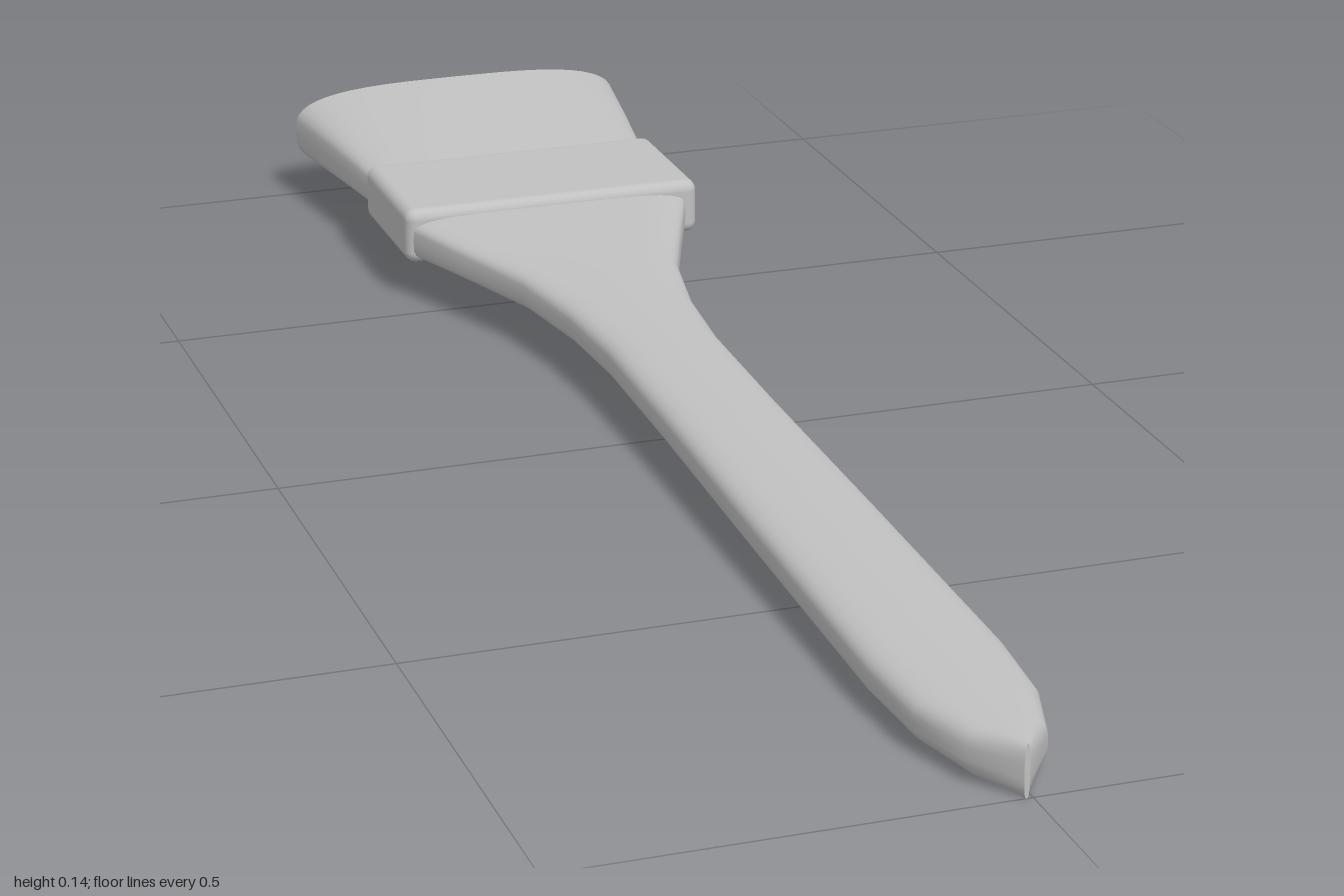
import * as THREE from 'three';
import { RoundedBoxGeometry } from 'three/addons/geometries/RoundedBoxGeometry.js';

const SIDES = 48;

// Skins superellipse sections [z, centreX, centreY, halfWidth, halfHeight, squareness], front to back.
function loft(sections) {
  const pos = [], index = [];
  const power = (v, n) => Math.sign(v) * Math.abs(v) ** (2 / n);
  const ring = ([z, cx, cy, w, h, n]) => {
    const start = pos.length / 3;
    for (let j = 0; j < SIDES; j++) {
      const a = (j / SIDES) * Math.PI * 2;
      pos.push(cx + w * power(Math.cos(a), n), cy + h * power(Math.sin(a), n), z);
    }
    return start;
  };
  const starts = sections.map(ring);
  for (let i = 0; i + 1 < starts.length; i++) {
    for (let j = 0; j < SIDES; j++) {
      const k = (j + 1) % SIDES;
      const a = starts[i] + j, b = starts[i + 1] + j, c = starts[i] + k, d = starts[i + 1] + k;
      index.push(a, b, c, c, b, d);
    }
  }
  // flat end caps with their own vertices
  const first = ring(sections[0]), last = ring(sections[sections.length - 1]);
  for (let j = 1; j + 1 < SIDES; j++) {
    index.push(first, first + j, first + j + 1, last, last + j + 1, last + j);
  }
  const geometry = new THREE.BufferGeometry();
  geometry.setAttribute('position', new THREE.Float32BufferAttribute(pos, 3));
  geometry.setIndex(index);
  geometry.computeVertexNormals();
  return geometry;
}

export function createModel() {
  const model = new THREE.Group();
  model.name = 'paintbrush';
  const grey = new THREE.MeshStandardMaterial({ color: 0xc0c0c0 });
  grey.name = 'pale grey';
  const add = (name, geometry) => {
    const mesh = new THREE.Mesh(geometry, grey);
    mesh.name = name;
    model.add(mesh);
    return mesh;
  };

  // handle: [z, halfWidth, squareness], rising gently towards the head
  const handle = [
    [1, 0.003, 3], [0.95, 0.043, 3], [0.87, 0.068, 3], [0.76, 0.076, 3],
    [0.4, 0.073, 3], [0.1, 0.069, 3], [-0.1, 0.069, 3], [-0.22, 0.078, 3.2],
    [-0.34, 0.1, 3.6], [-0.45, 0.142, 4.2], [-0.56, 0.185, 5],
  ];
  add('handle', loft(handle.map(([z, w, n]) =>
    [z, -0.007, 0.03 + (1 - z) * 0.0305, w, 0.0295, n])));

  // metal band joining handle and bristles
  add('ferrule', new RoundedBoxGeometry(0.384, 0.07, 0.2, 4, 0.014))
    .position.set(-0.003, 0.083, -0.645);

  // bristles flaring to a flat end
  add('bristles', loft([
    [-0.72, -0.003, 0.083, 0.18, 0.03, 5],
    [-0.75, -0.003, 0.083, 0.186, 0.033, 4.5],
    [-0.87, -0.001, 0.085, 0.203, 0.044, 3.8],
    [-1, 0, 0.086, 0.222, 0.056, 3.2],
  ]));
  return model;
}
